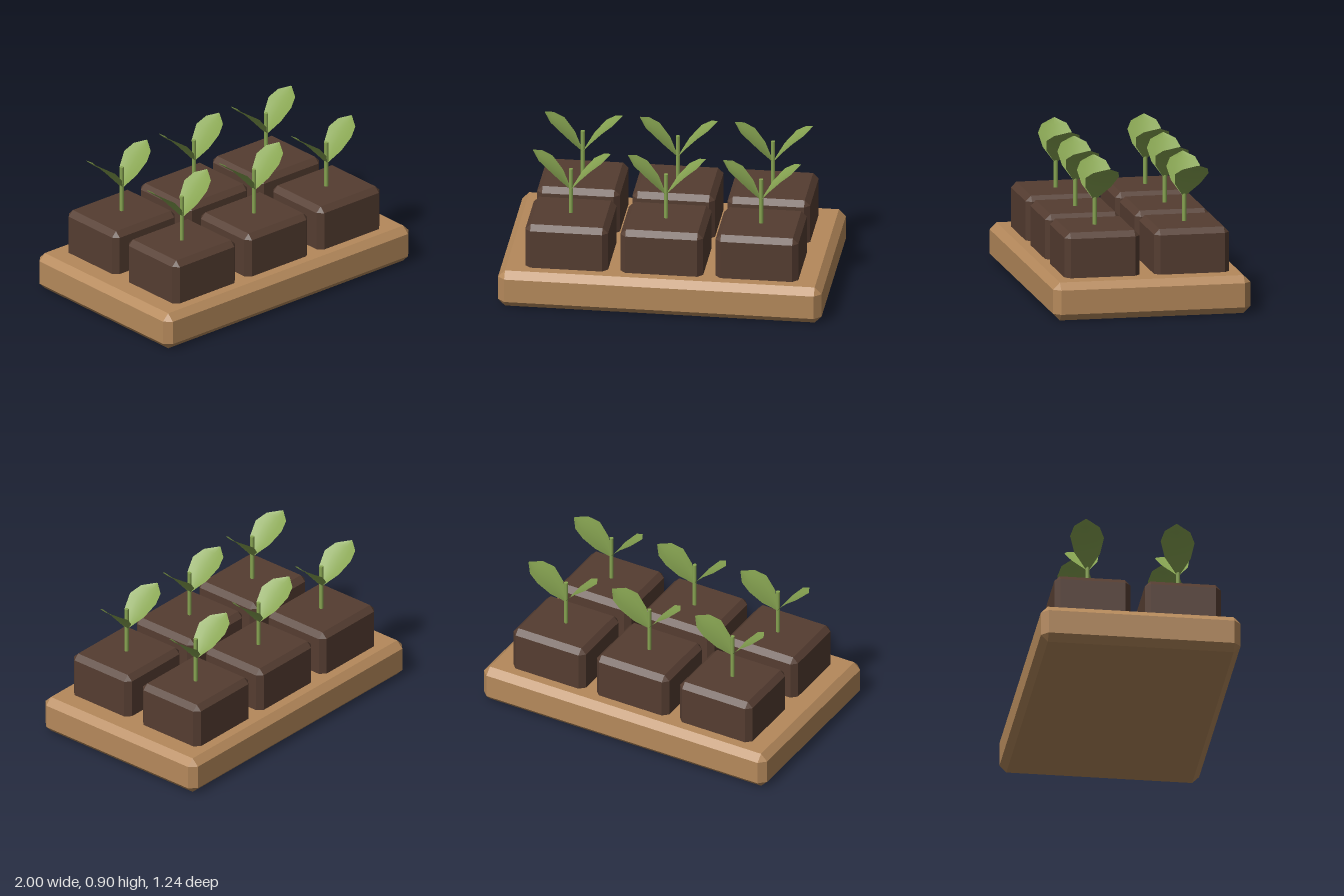
import * as THREE from 'three';
import { ConvexGeometry } from 'three/addons/geometries/ConvexGeometry.js';

// Box with every edge cut at 45 degrees
function chamferedBox(w, h, d, bevel) {
  const points = [];
  for (const sx of [-1, 1]) for (const sy of [-1, 1]) for (const sz of [-1, 1]) {
    for (let axis = 0; axis < 3; axis++) {
      const half = [w / 2 - bevel, h / 2 - bevel, d / 2 - bevel];
      half[axis] += bevel;
      points.push(new THREE.Vector3(sx * half[0], sy * half[1], sz * half[2]));
    }
  }
  return new ConvexGeometry(points);
}

// Leaf stations from base to tip: x, y, front edge z, back edge z
const LEAF = [
  [0.005, 0.68, 0.014, -0.014],
  [0.06, 0.76, 0.07, -0.09],
  [0.13, 0.835, 0.085, -0.125],
  [0.193, 0.876, 0.05, -0.108],
  [0.24, 0.905, -0.036, -0.044],
];

// Slightly cupped, curved leaf; side is +1 or -1 along x
function leafGeometry(side) {
  const pos = [], index = [], cols = 4;
  LEAF.forEach(([x, y, front, back], i) => {
    const cup = 0.012 * Math.sin((Math.PI * i) / (LEAF.length - 1));
    for (let j = 0; j <= cols; j++) {
      const t = j / cols, dip = cup * 4 * t * (1 - t);
      pos.push(side * (x + dip * 0.6), y - dip * 0.8, front + (back - front) * t);
    }
  });
  for (let i = 0; i < LEAF.length - 1; i++) for (let j = 0; j < cols; j++) {
    const a = i * (cols + 1) + j, b = a + 1, c = a + cols + 1, d = c + 1;
    if (side > 0) index.push(a, c, b, b, c, d);
    else index.push(a, b, c, b, d, c);
  }
  const g = new THREE.BufferGeometry();
  g.setAttribute('position', new THREE.Float32BufferAttribute(pos, 3));
  g.setIndex(index);
  g.computeVertexNormals();
  return g;
}

export function createModel() {
  const wood = new THREE.MeshStandardMaterial({ name: 'wood', color: 0xb5895b });
  const soil = new THREE.MeshStandardMaterial({ name: 'soil', color: 0x553d31 });
  const green = new THREE.MeshStandardMaterial({ name: 'leafGreen', color: 0x88a552, side: THREE.DoubleSide });

  const model = new THREE.Group();
  model.name = 'seedlingTray';
  const add = (parent, name, geometry, material, x = 0, y = 0, z = 0) => {
    const mesh = new THREE.Mesh(geometry, material);
    mesh.name = name;
    mesh.position.set(x, y, z);
    parent.add(mesh);
  };

  // Tray
  add(model, 'tray', chamferedBox(2, 0.237, 1.235, 0.043), wood, 0, 0.1185, 0);

  // Soil blocks, each with one seedling
  const block = chamferedBox(0.512, 0.38, 0.47, 0.034);
  const stem = new THREE.CylinderGeometry(0.013, 0.013, 0.32, 8);
  const leftLeaf = leafGeometry(1), rightLeaf = leafGeometry(-1);
  for (const z of [-0.28, 0.28]) for (const x of [-0.588, 0, 0.588]) {
    const cell = new THREE.Group();
    cell.name = 'seedlingCell';
    cell.position.set(x, 0, z);
    add(cell, 'soilBlock', block, soil, 0, 0.326, 0);
    add(cell, 'stem', stem, green, 0, 0.65, 0);
    add(cell, 'leftLeaf', leftLeaf, green);
    add(cell, 'rightLeaf', rightLeaf, green);
    model.add(cell);
  }
  return model;
}
